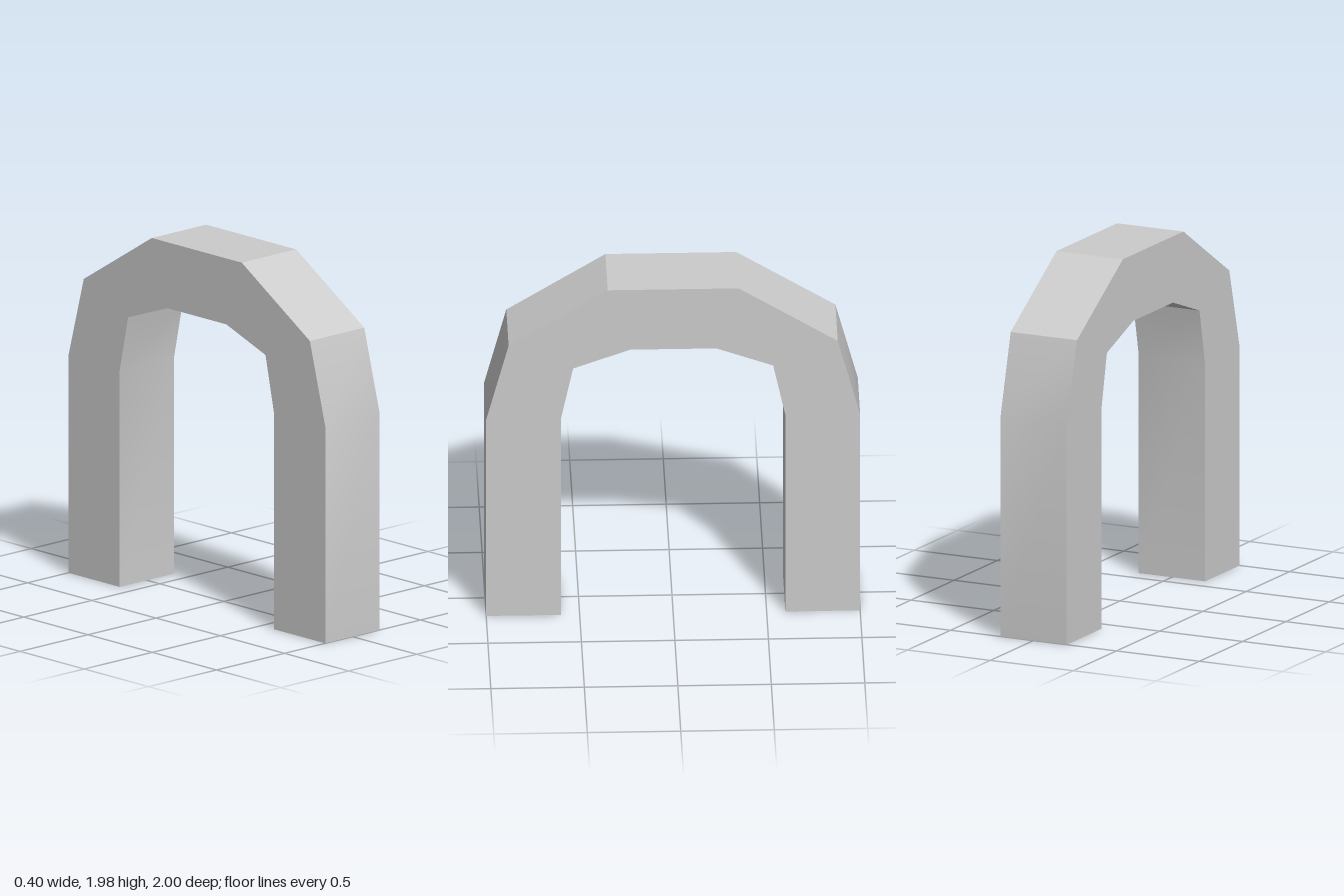
import * as THREE from 'three';
import { toCreasedNormals } from 'three/addons/utils/BufferGeometryUtils.js';

const WIDTH = 0.4;

// Half profiles [z, y], from the foot up to the crown
const OUTER = [[1, 0], [1, 1.2], [0.88, 1.65], [0.35, 1.98]];
const INNER = [[0.6, 0], [0.6, 1.2], [0.535, 1.505], [0.23, 1.615]];

// Mirror a half profile into a full run from one foot to the other
const fullRun = (half) => [...half, ...half.map(([z, y]) => [-z, y]).reverse()];

export function createModel() {
  const group = new THREE.Group();
  group.name = 'archway';

  // Arch outline: over the outside, back along the inside
  const outline = [...fullRun(OUTER), ...fullRun(INNER).reverse()];
  const shape = new THREE.Shape(outline.map(([z, y]) => new THREE.Vector2(z, y)));

  const extruded = new THREE.ExtrudeGeometry(shape, { depth: WIDTH, bevelEnabled: false });
  extruded.translate(0, 0, -WIDTH / 2);
  extruded.rotateY(-Math.PI / 2);

  // Shallow bends stay smooth, the others sharp
  const geometry = toCreasedNormals(extruded, THREE.MathUtils.degToRad(25));
  const arch = new THREE.Mesh(geometry, new THREE.MeshStandardMaterial({ color: 0xcccccc }));
  arch.name = 'arch';
  group.add(arch);

  return group;
}
